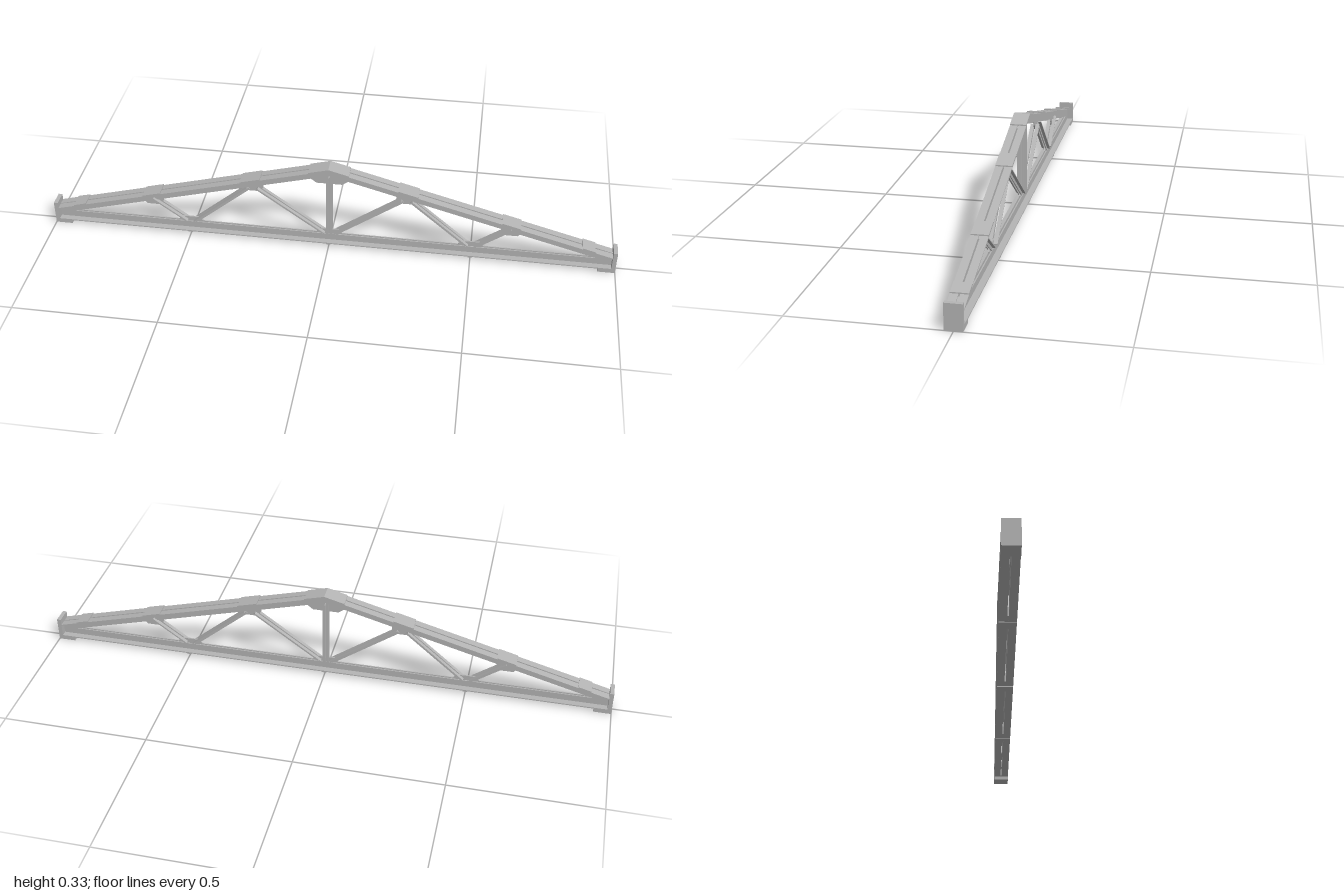
import * as THREE from 'three';

const GAP = 0.0025;   // half the slot between paired angles
const T = 0.004;      // steel thickness
const W = 0.028;      // half width of the truss
const SLOPE = 0.27;
const roof = (x) => 0.329 - SLOPE * Math.abs(x);

export function createModel() {
  const truss = new THREE.Group();
  truss.name = 'roofTruss';
  const steel = new THREE.MeshStandardMaterial({ color: 0xb5b5b5 });
  steel.name = 'steel grey';

  // Prism with an outline in the xy plane, from z0 to z1
  function prism(name, pts, z0, z1) {
    const shape = new THREE.Shape(pts.map(([x, y]) => new THREE.Vector2(x, y)));
    const geo = new THREE.ExtrudeGeometry(shape, { depth: z1 - z0, bevelEnabled: false });
    geo.translate(0, 0, z0);
    const mesh = new THREE.Mesh(geo, steel);
    mesh.name = name;
    truss.add(mesh);
  }
  const rect = (x0, x1, y0, y1) => [[x0, y0], [x1, y0], [x1, y1], [x0, y1]];
  // Same outline on the front and back faces of the slot
  function paired(name, pts, z0, z1) {
    prism(name, pts, z0, z1);
    prism(name, pts, -z1, -z0);
  }
  // Strip following the roof slope, between two offsets from its surface
  const sloped = (x0, x1, lo, hi) => [
    [x0, roof(x0) + lo], [x1, roof(x1) + lo], [x1, roof(x1) + hi], [x0, roof(x0) + hi]];
  // Strip from a to b, covering offsets lo to hi across its direction
  function strip(a, b, lo, hi) {
    const dx = b[0] - a[0], dy = b[1] - a[1], l = Math.hypot(dx, dy);
    const nx = -dy / l, ny = dx / l;
    return [[a[0] + nx * lo, a[1] + ny * lo], [b[0] + nx * lo, b[1] + ny * lo],
      [b[0] + nx * hi, b[1] + ny * hi], [a[0] + nx * hi, a[1] + ny * hi]];
  }

  // Bottom chord: two angles, flanges at the bottom
  paired('bottomChordLeg', rect(-0.986, 0.986, 0.013, 0.041), GAP, GAP + T);
  paired('bottomChordFlange', rect(-0.986, 0.986, 0.013, 0.013 + T), GAP, W);

  // Centre post
  paired('postLeg', rect(-0.011, 0.011, 0.036, 0.295), GAP, GAP + 0.003);
  paired('postWeb', rect(-0.0015, 0.0015, 0.041, 0.292), GAP, 0.018);

  // Gusset and cover plates on the centre line
  prism('apexGusset', [[-0.045, 0.258], [0.045, 0.258], [0.08, 0.285], [0.08, 0.303],
    [0, 0.325], [-0.08, 0.303], [-0.08, 0.285]], -GAP, GAP);
  for (const x of [-0.5, 0, 0.5]) {
    prism('bottomGusset', [[x - 0.045, 0.015], [x + 0.045, 0.015], [x + 0.045, 0.045],
      [x + 0.03, 0.06], [x - 0.03, 0.06], [x - 0.045, 0.045]], -GAP, GAP);
    prism('bottomSplice', rect(x - 0.008, x + 0.008, 0.01, 0.013), -W, W);
  }

  for (const s of [-1, 1]) {
    const m = (pts) => pts.map(([x, y]) => [s * x, y]);

    // Top chord: two angles, flanges at the top
    paired('topChordLeg', m(sloped(0, 0.986, -0.036, 0)), GAP, GAP + T);
    paired('topChordFlange', m(sloped(0, 0.986, -T, 0)), GAP, W);

    // Plates tying the flanges together
    for (const [a, b] of [[0, 0.07], [0.24, 0.31], [0.6, 0.665], [0.88, 0.925]]) {
      prism('coverPlate', m(sloped(a, b, -0.001, 0.004)), -W, W);
    }

    // Gussets hanging from the top chord
    for (const [x, y] of [[0.27, 0.2], [0.635, 0.103]]) {
      prism('topGusset', m([[x - 0.024, y], [x + 0.022, y], [x + 0.038, y + 0.018],
        [x + 0.038, roof(x + 0.038) - 0.005], [x - 0.038, roof(x - 0.038) - 0.005],
        [x - 0.038, y + 0.018]]), -GAP, GAP);
    }

    // Diagonals: paired angles, outstanding flange along the upper edge
    const diagonals = [
      [[0.635, 0.13], [0.515, 0.043]],
      [[0.485, 0.043], [0.285, 0.212]],
      [[0.255, 0.212], [0.02, 0.043]],
    ];
    for (const [a, b] of diagonals) {
      const p = [-b[0], b[1]], q = [-a[0], a[1]];
      const [from, to] = p[0] < q[0] ? [p, q] : [q, p];
      const flip = ([x, y]) => [-x * s, y];
      paired('diagonalLeg', strip(from, to, -0.007, 0.007).map(flip), GAP, GAP + 0.003);
      paired('diagonalFlange', strip(from, to, 0.004, 0.007).map(flip), GAP, 0.016);
    }

    // Bearing end: end plate, base plate and gusset
    prism('endPlate', m(rect(0.986, 1, 0.003, 0.085)), -W, W);
    prism('basePlate', m(rect(0.94, 1, 0, 0.013)), -W, W);
    prism('endGusset', m([[0.93, 0.013], [0.986, 0.013], [0.986, roof(0.986) - 0.002],
      [0.93, roof(0.93) - 0.004], [0.93, 0.05], [0.945, 0.046], [0.945, 0.042],
      [0.93, 0.038]]), -GAP, GAP);
  }
  return truss;
}
